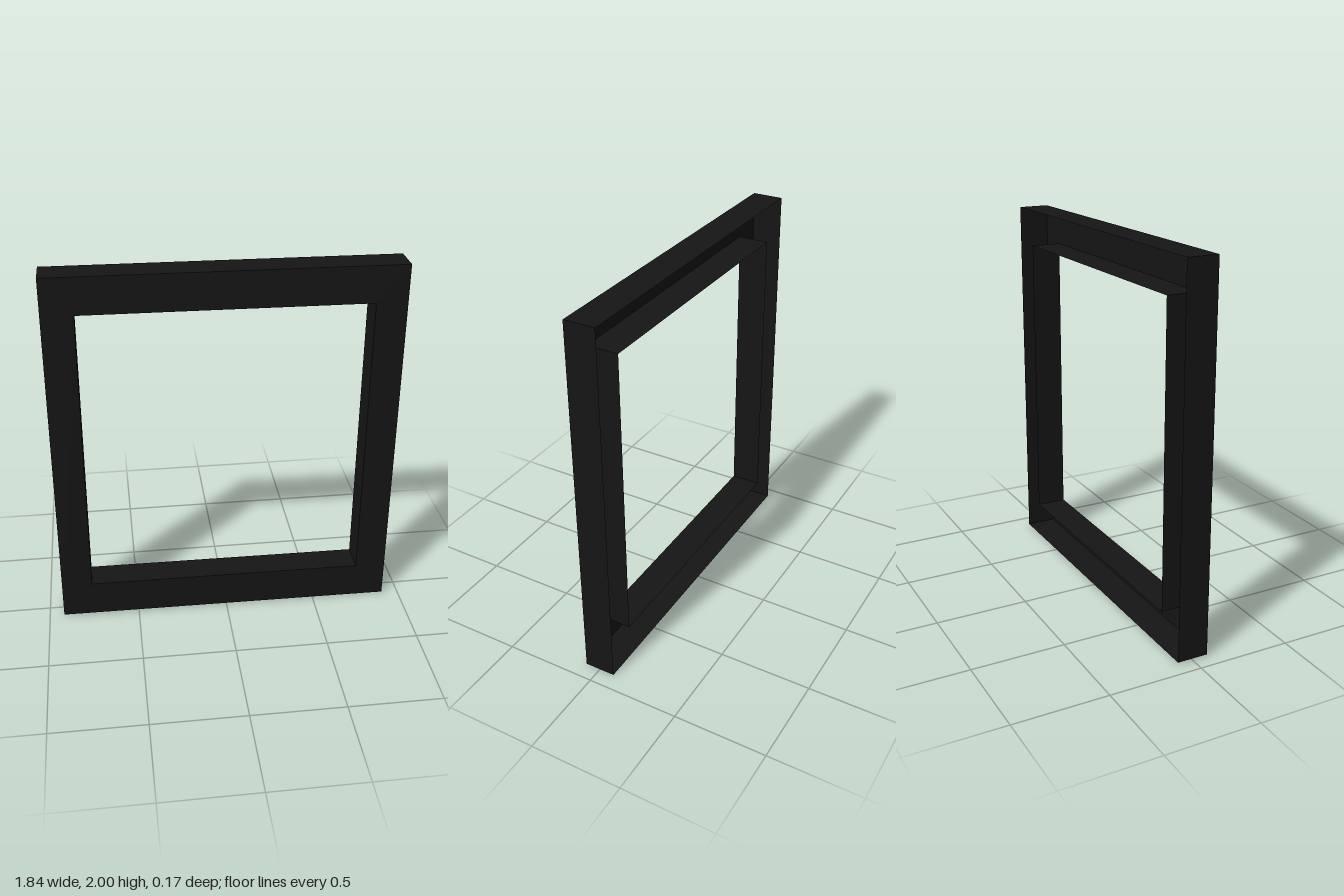
import * as THREE from 'three';

const W = 1.83, H = 1.99;      // outer size
const w = 1.5, h = 1.595;      // opening size
const D = 0.166;               // depth
const TILT = -0.005;           // the frame hangs very slightly crooked

const material = new THREE.MeshStandardMaterial({ color: 0x151515, side: THREE.DoubleSide });

function rectangle(target, width, height) {
  const x = width / 2, y = height / 2;
  return target.moveTo(-x, -y).lineTo(x, -y).lineTo(x, y).lineTo(-x, y).closePath();
}

// Four thin walls around a rectangle; facing is 1 for outward, -1 for inward
function createWalls(name, width, height, facing) {
  const walls = new THREE.Group();
  walls.name = name;
  ['Left', 'Top', 'Right', 'Bottom'].forEach((side, i) => {
    const upright = i % 2 === 0;
    const geometry = new THREE.PlaneGeometry(D, upright ? height : width);
    geometry.rotateY(facing * Math.PI / 2);
    geometry.translate((upright ? width : height) / 2, 0, 0);
    geometry.rotateZ(i * Math.PI / 2);
    const wall = new THREE.Mesh(geometry, material);
    wall.name = name + side;
    walls.add(wall);
  });
  return walls;
}

export function createModel() {
  const model = new THREE.Group();
  model.name = 'frame';

  // Flat front face with the opening cut out; the back stays open
  const outline = rectangle(new THREE.Shape(), W, H);
  outline.holes.push(rectangle(new THREE.Path(), w, h));
  const face = new THREE.Mesh(new THREE.ShapeGeometry(outline), material);
  face.name = 'frontFace';
  face.position.z = D / 2;

  // Rims running back from the outer edge and from the opening
  model.add(face, createWalls('outerRim', W, H, 1), createWalls('innerRim', w, h, -1));

  model.rotation.z = TILT;
  model.position.y = 1;
  const root = new THREE.Group();
  root.name = 'pictureFrame';
  root.add(model);
  return root;
}
